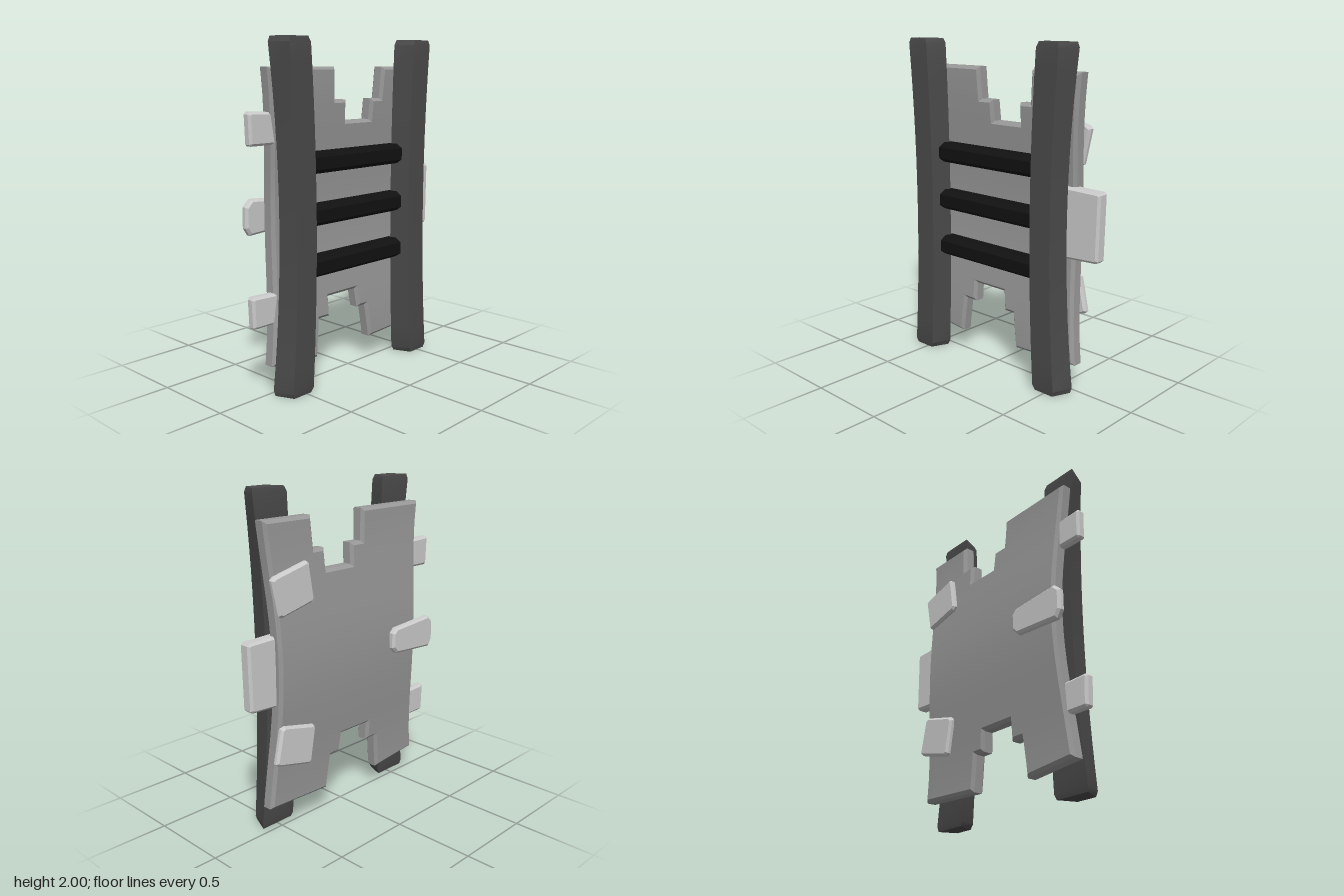
import * as THREE from 'three';
import { toCreasedNormals } from 'three/addons/utils/BufferGeometryUtils.js';

const material = (color) => new THREE.MeshStandardMaterial({ color });

function addPart(parent, name, geometry, mat, crease = 0.4) {
  const mesh = new THREE.Mesh(toCreasedNormals(geometry, crease), mat);
  mesh.name = name;
  parent.add(mesh);
  return mesh;
}

// Closed solid through rings of points, counter-clockwise seen from the last ring
function loft(rings) {
  const n = rings[0].length, index = [];
  const last = (rings.length - 1) * n;
  for (let r = 0; r < rings.length - 1; r++) {
    for (let i = 0; i < n; i++) {
      const a = r * n + i, b = r * n + (i + 1) % n;
      index.push(a, b, b + n, a, b + n, a + n);
    }
  }
  for (let i = 1; i < n - 1; i++) {
    index.push(0, i + 1, i, last, last + i, last + i + 1);
  }
  const g = new THREE.BufferGeometry();
  g.setAttribute('position', new THREE.Float32BufferAttribute(rings.flat(2), 3));
  g.setIndex(index);
  return g.toNonIndexed();
}

// Flat slab with chamfered edges, lying between two depths
function slab(shape, zBack, zFront, bevel) {
  const g = new THREE.ExtrudeGeometry(shape, {
    depth: zFront - zBack - 2 * bevel, curveSegments: 12,
    bevelSize: bevel, bevelThickness: bevel, bevelOffset: -bevel, bevelSegments: 1,
  });
  g.translate(0, 0, zBack + bevel);
  return g;
}

// Cut triangles along horizontal planes so that a slab can be bent
function sliceAtHeights(geometry, heights) {
  const p = geometry.attributes.position;
  let tris = [];
  for (let i = 0; i < p.count; i += 3) {
    tris.push([0, 1, 2].map((k) => new THREE.Vector3().fromBufferAttribute(p, i + k)));
  }
  for (const h of heights) {
    const next = [];
    for (const t of tris) {
      for (const s of [1, -1]) {
        const poly = [];
        t.forEach((a, k) => {
          const b = t[(k + 1) % 3], da = s * (a.y - h), db = s * (b.y - h);
          if (da >= 0) poly.push(a);
          if (da * db < 0) poly.push(a.clone().lerp(b, da / (da - db)));
        });
        if (poly.every((v) => Math.abs(v.y - h) < 1e-7)) {
          if (s > 0 && poly.length === 3) next.push(poly);
          continue;
        }
        for (let k = 1; k < poly.length - 1; k++) next.push([poly[0], poly[k], poly[k + 1]]);
      }
    }
    tris = next;
  }
  return new THREE.BufferGeometry().setFromPoints(tris.flat());
}

// Waisted panel with stepped notches, bowed backwards at mid height
function panelGeometry() {
  const s = new THREE.Shape();
  s.moveTo(-0.645, 1.84);
  s.quadraticCurveTo(-0.535, 1, -0.645, 0.165);
  const bottom = [[-0.29, 0.13], [-0.265, 0.36], [-0.18, 0.36], [-0.18, 0.48], [0.05, 0.48],
    [0.065, 0.36], [0.135, 0.36], [0.165, 0.145], [0.62, 0.165]];
  bottom.forEach(([x, y]) => s.lineTo(x, y));
  s.quadraticCurveTo(0.52, 1, 0.62, 1.84);
  const top = [[0.275, 1.84], [0.26, 1.65], [0.18, 1.65], [0.175, 1.525], [-0.03, 1.525],
    [-0.035, 1.65], [-0.125, 1.65], [-0.135, 1.84]];
  top.forEach(([x, y]) => s.lineTo(x, y));

  const heights = Array.from({ length: 17 }, (_, i) => 0.2 + i * 0.1);
  const g = sliceAtHeights(slab(s, -0.053, 0.037, 0.018), heights);
  const p = g.attributes.position;
  for (let i = 0; i < p.count; i++) {
    const d = Math.min(1, Math.abs(p.getY(i) - 1) / 0.86);
    p.setZ(i, p.getZ(i) - 0.05 * Math.cos(d * Math.PI / 2) ** 2);
  }
  return g;
}

// Tapered rail, curving inwards at mid height; side is -1 or 1
function railGeometry(side) {
  const heights = [0, 0.03];
  for (let i = 1; i < 14; i++) heights.push(0.03 + i * 1.94 / 14);
  heights.push(1.97, 2);
  const centre = -0.0175;
  return loft(heights.map((y) => {
    const bend = 1 - (y - 1) ** 2;
    const end = y === 0 || y === 2 ? 0.012 : 0;
    const outer = 0.6375 - 0.065 * bend - end, inner = 0.3925 - 0.025 * bend + end;
    const outerFront = 0.592 - 0.045 * bend - end, innerFront = 0.437 - 0.035 * bend + end;
    const back = 0.04 + end / 2, front = 0.16 - end / 2;
    const ring = [[outer, back], [outerFront, front], [innerFront, front], [inner, back]]
      .map(([x, z]) => [centre + side * x, y, z]);
    return side < 0 ? ring : ring.reverse();
  }));
}

// Rung with chamfered front edges and ends
function rungGeometry() {
  const section = [[-0.061, 0.02], [0.061, 0.02], [0.061, 0.08], [0.035, 0.12],
    [-0.035, 0.12], [-0.061, 0.08]];
  return loft([[-0.42, 0.6], [-0.395, 1], [0.36, 1], [0.385, 0.6]].map(([x, k]) =>
    section.map(([y, z]) => [x, y * k, 0.07 + (z - 0.07) * k])));
}

function plateGeometry(points, zBack, zFront) {
  const shape = new THREE.Shape(points.map(([x, y]) => new THREE.Vector2(x, y)));
  return slab(shape, zBack, zFront, 0.014);
}

export function createModel() {
  const model = new THREE.Group();
  const panelMat = material(0x999999), railMat = material(0x4a4a4a);
  const rungMat = material(0x111111), plateMat = material(0xcccccc);

  addPart(model, 'panel', panelGeometry(), panelMat);
  addPart(model, 'rightRail', railGeometry(-1), railMat);
  addPart(model, 'leftRail', railGeometry(1), railMat);

  [0.705, 1.005, 1.305].forEach((y, i) => {
    addPart(model, `rung${i + 1}`, rungGeometry(), rungMat).position.y = y;
  });

  // Small plates let into the panel's edges
  [['rightUpperPlate', 1.42], ['rightLowerPlate', 0.405]].forEach(([name, y]) => {
    const outline = [[-0.745, y], [-0.52, y], [-0.52, y + 0.175], [-0.75, y + 0.185],
      [-0.762, y + 0.17], [-0.755, y + 0.01]];
    addPart(model, name, plateGeometry(outline, -0.05, 0.01), plateMat);
  });
  addPart(model, 'leftMiddlePlate', plateGeometry([[0.48, 0.79], [0.735, 0.802], [0.75, 0.815],
    [0.757, 1.19], [0.745, 1.203], [0.48, 1.21]], -0.06, 0.018), plateMat);

  // Plates fixed on the back
  addPart(model, 'rightBackPlate', plateGeometry([[-0.695, 0.95], [-0.665, 0.905],
    [-0.35, 0.925], [-0.31, 0.965], [-0.31, 1.06], [-0.34, 1.09], [-0.65, 1.112],
    [-0.695, 1.07]], -0.163, -0.113), plateMat);
  const tilted = [[0.62, 1.53], [0.60, 1.548], [0.365, 1.605], [0.345, 1.59], [0.31, 1.39],
    [0.325, 1.368], [0.55, 1.315], [0.575, 1.328]];
  for (const side of [1, -1]) {
    const outline = tilted.map(([x, y]) => [x, 1 + side * (y - 1)]);
    const g = plateGeometry(outline, -0.11, -0.065);
    addPart(model, side > 0 ? 'leftUpperBackPlate' : 'leftLowerBackPlate', g, plateMat);
  }
  return model;
}
